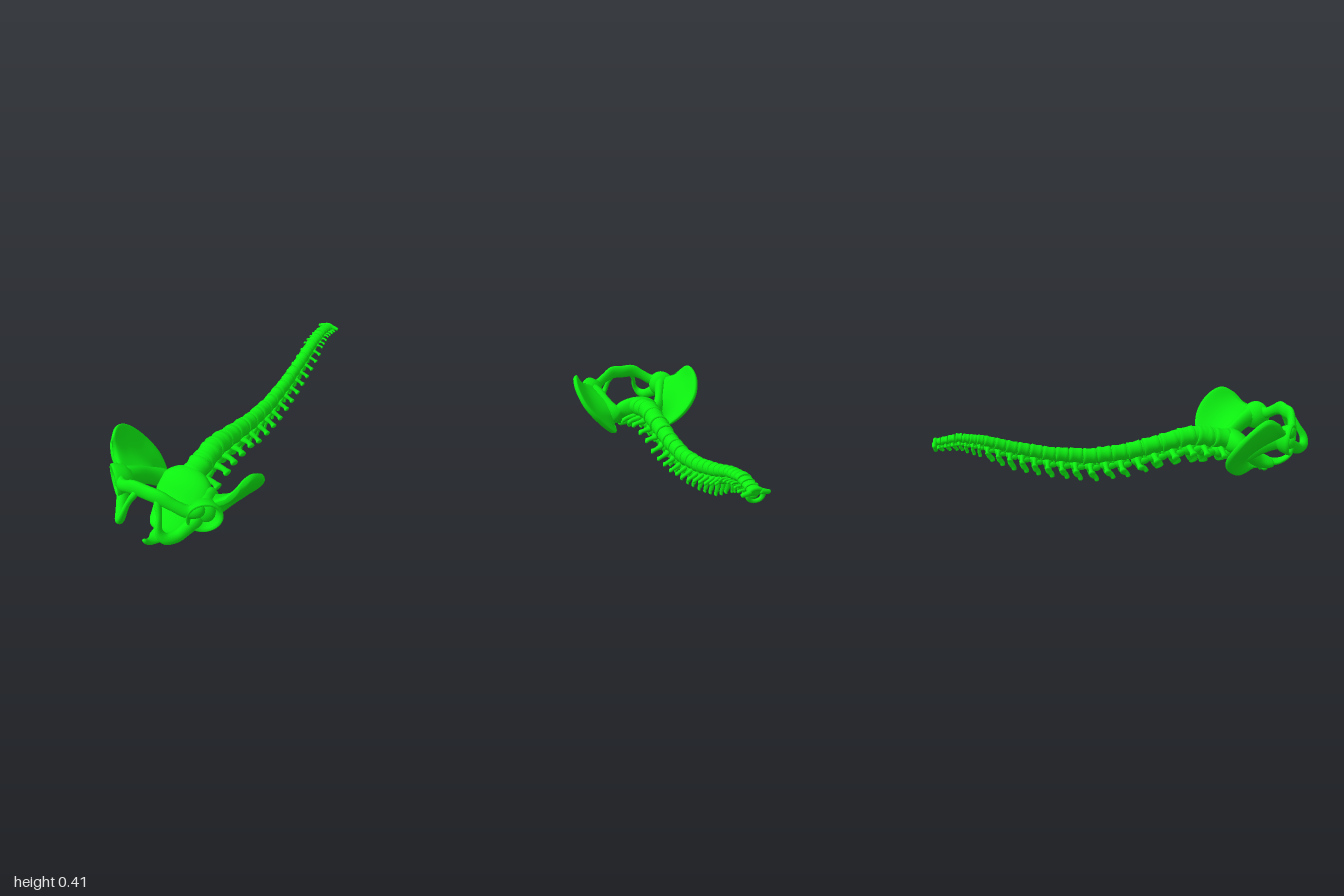
import * as THREE from 'three';

const V = (x, y, z) => new THREE.Vector3(x, y, z);
const bone = new THREE.MeshStandardMaterial({ color: 0x0cf010 });

function mesh(name, geometry) {
  const m = new THREE.Mesh(geometry, bone);
  m.name = name;
  return m;
}

// Closed surface through a row of rings, with capped ends
function skin(rings) {
  const n = rings[0].length, pos = [], idx = [];
  rings.forEach(r => r.forEach(p => pos.push(p.x, p.y, p.z)));
  for (let i = 0; i < rings.length - 1; i++) {
    for (let j = 0; j < n; j++) {
      const a = i * n + j, b = i * n + (j + 1) % n;
      idx.push(a, b, a + n, b, b + n, a + n);
    }
  }
  [0, rings.length - 1].forEach(i => {
    const c = rings[i].reduce((s, p) => s.add(p), V(0, 0, 0)).divideScalar(n), k = pos.length / 3;
    pos.push(c.x, c.y, c.z);
    for (let j = 0; j < n; j++) {
      const a = i * n + j, b = i * n + (j + 1) % n;
      idx.push(k, ...(i ? [a, b] : [b, a]));
    }
  });
  const g = new THREE.BufferGeometry();
  g.setAttribute('position', new THREE.Float32BufferAttribute(pos, 3));
  g.setIndex(idx);
  g.computeVertexNormals();
  return g;
}

// Round-ended tube; each point is [x, y, z, side radius, up radius]
function sweep(pts, up = V(0, 1, 0), steps = 24, sides = 14) {
  const curve = new THREE.CatmullRomCurve3(pts.map(p => V(p[0], p[1], p[2])));
  const size = new THREE.CatmullRomCurve3(pts.map(p => V(p[3], p[4], 0)));
  const rings = [];
  for (let i = 0; i <= steps; i++) {
    const t = (1 - Math.cos(Math.PI * i / steps)) / 2;
    const c = curve.getPoint(t), T = curve.getTangent(t), r = size.getPoint(t);
    const side = V(0, 0, 0).crossVectors(up, T).normalize();
    const b = V(0, 0, 0).crossVectors(T, side);
    const e = Math.min(1, Math.min(t, 1 - t) / 0.1);
    const k = Math.max(0.08, Math.sqrt(1 - (1 - e) ** 2));
    rings.push(Array.from({ length: sides }, (_, j) => {
      const a = j / sides * Math.PI * 2;
      return c.clone().addScaledVector(side, Math.cos(a) * r.x * k).addScaledVector(b, Math.sin(a) * r.y * k);
    }));
  }
  return skin(rings);
}

// Flip a geometry across x = 0 and restore its face order
function mirrored(geometry) {
  const g = geometry.clone().scale(-1, 1, 1), ix = g.index.array;
  for (let i = 0; i < ix.length; i += 3) [ix[i], ix[i + 1]] = [ix[i + 1], ix[i]];
  g.computeVertexNormals();
  return g;
}

function addPair(group, name, geometry) {
  group.add(mesh('left' + name, geometry), mesh('right' + name, mirrored(geometry)));
}

// Spine stations: z, centre y, half width, half depth, back spur length, side spur reach
const stations = [
  [0.60, 0.20, 0.066, 0.055, 0.11, 0.12], [0.53, 0.215, 0.064, 0.055, 0.13, 0.12],
  [0.365, 0.24, 0.06, 0.055, 0.16, 0.112], [0.18, 0.203, 0.052, 0.05, 0.135, 0.095],
  [0, 0.168, 0.045, 0.046, 0.148, 0.09], [-0.2, 0.157, 0.041, 0.043, 0.147, 0.082],
  [-0.4, 0.182, 0.037, 0.038, 0.132, 0.075], [-0.6, 0.232, 0.034, 0.033, 0.125, 0.07],
  [-0.75, 0.28, 0.034, 0.027, 0.095, 0.065], [-0.87, 0.301, 0.034, 0.022, 0.072, 0.055],
  [-1.0, 0.28, 0.03, 0.018, 0.05, 0.055]];

function station(z) {
  let i = 0;
  while (i < stations.length - 2 && z < stations[i + 1][0]) i++;
  const a = stations[i], b = stations[i + 1], t = (a[0] - z) / (a[0] - b[0]);
  return a.map((v, k) => v + (b[k] - v) * t);
}

function vertebra(i, z, len) {
  const g = new THREE.Group();
  const [, y, w, d, spine, reach] = station(z);
  g.name = 'vertebra' + (i + 1);
  g.position.set(0, y, z);
  g.rotation.x = -Math.atan2(station(z + 0.04)[1] - station(z - 0.04)[1], 0.08);
  const lumbar = i < 5, neck = i > 16;

  // Waisted body
  const h = len * 0.47;
  const body = new THREE.LatheGeometry([[0, -h], [0.85, -h], [1, -h * 0.85], [0.97, -h * 0.5], [0.9, 0],
    [0.97, h * 0.5], [1, h * 0.85], [0.85, h], [0, h]].map(p => new THREE.Vector2(...p)), 24);
  g.add(mesh('body', body.rotateX(Math.PI / 2).scale(w, d, 1)));

  // Arch behind the body and the joint facets
  const arch = new THREE.SphereGeometry(1, 16, 10).scale(w * 0.72, d * 0.75, len * 0.42);
  g.add(mesh('arch', arch.translate(0, -d * 1.25, len * 0.05)));
  const facet = new THREE.SphereGeometry(1, 10, 8).scale(w * 0.24, d * 0.4, len * 0.35);
  addPair(g, 'Facet', facet.translate(w * 0.5, -d * 1.45, len * 0.42));

  // Back spur, leaning towards the pelvis
  const lean = lumbar ? 0.025 : neck ? 0.015 : 0.045;
  const deep = lumbar ? 0.027 : neck ? 0.009 : 0.014;
  g.add(mesh('backSpur', sweep([
    [0, -d, 0, w * 0.35, len * 0.3], [0, -(d + spine) * 0.55, lean * 0.35, 0.009, len * 0.26],
    [0, -spine * 0.85, lean * 0.8, 0.006, deep], [0, -spine, lean, 0.007, deep * 0.9]], V(0, 0, 1), 14, 10)));

  // Side spurs
  const drop = lumbar ? -1.3 : neck ? -1.0 : -1.65;
  addPair(g, 'SideSpur', sweep([
    [w * 0.4, -d * 0.9, 0, len * 0.22, d * 0.35], [(w + reach) / 2, d * (drop + 0.2), 0, len * 0.15, d * 0.22],
    [reach * 0.93, d * drop, len * 0.04, len * 0.24, d * 0.24],
    [reach, d * drop, len * 0.06, len * 0.2, d * 0.2]], V(0, 1, 0), 14, 10));
  return g;
}

// Curved iliac blade between the crest and the inner brim
function iliacBlade() {
  const line = a => new THREE.CatmullRomCurve3(a.map(p => V(...p)));
  const crest = line([[0.345, 0.38, 0.72], [0.37, 0.408, 0.645], [0.379, 0.36, 0.565], [0.347, 0.265, 0.495],
    [0.275, 0.17, 0.475], [0.2, 0.09, 0.515], [0.155, 0.05, 0.58], [0.125, 0.065, 0.66]]);
  const brim = line([[0.25, 0.31, 0.80], [0.235, 0.29, 0.78], [0.215, 0.265, 0.74], [0.19, 0.235, 0.69],
    [0.165, 0.2, 0.65], [0.145, 0.165, 0.625], [0.13, 0.13, 0.63], [0.115, 0.09, 0.67]]);
  const rings = [], steps = 44, sides = 36;
  for (let i = 0; i <= steps; i++) {
    const u = i / steps, c = crest.getPoint(u), b = brim.getPoint(u);
    const along = crest.getTangent(u).add(brim.getTangent(u));
    const n = c.clone().sub(b).cross(along).normalize();
    const edge = Math.min(1, 0.45 + Math.min(u, 1 - u) * 7);
    rings.push(Array.from({ length: sides }, (_, j) => {
      const t = j / sides * Math.PI * 2, v = (1 - Math.cos(t)) / 2, s = Math.sin(t);
      const thick = (0.028 - 0.05 * v * (1 - v)) * edge * Math.sign(s) * Math.abs(s) ** 0.6;
      return b.clone().lerp(c, v).addScaledVector(n, thick - 0.022 * Math.sin(Math.PI * v));
    }));
  }
  return skin(rings);
}

function pelvis() {
  const g = new THREE.Group();
  g.name = 'pelvis';
  addPair(g, 'IliacBlade', iliacBlade());

  // Thick bar from the hip socket to the sacrum
  addPair(g, 'IliacBody', sweep([[0.24, 0.27, 0.82, 0.05, 0.06], [0.205, 0.25, 0.75, 0.035, 0.05],
    [0.175, 0.21, 0.68, 0.03, 0.045], [0.14, 0.165, 0.62, 0.035, 0.05], [0.11, 0.14, 0.6, 0.03, 0.05]]));

  // Hip socket cup
  const cup = new THREE.LatheGeometry([[0, -0.075], [0.04, -0.068], [0.068, -0.04], [0.082, 0], [0.082, 0.014],
    [0.074, 0.018], [0.066, 0.008], [0.054, -0.022], [0.03, -0.042], [0, -0.048]]
    .map(p => new THREE.Vector2(...p)), 32);
  cup.applyQuaternion(new THREE.Quaternion().setFromUnitVectors(V(0, 1, 0), V(0.62, 0, 0.78).normalize()));
  addPair(g, 'HipSocket', cup.translate(0.238, 0.262, 0.825));

  // Pubic bar meeting at the midline
  const half = [[0.24, 0.3, 0.82, 0.035, 0.045], [0.18, 0.29, 0.86, 0.026, 0.032], [0.125, 0.32, 0.885, 0.022, 0.03],
    [0.065, 0.348, 0.9, 0.022, 0.039]];
  const other = half.map(([x, ...r]) => [-x, ...r]).reverse();
  g.add(mesh('pubicBar', sweep([...half, [0, 0.348, 0.9, 0.024, 0.038], ...other], V(0, 1, 0), 48)));

  // Ischium looping around the lower opening
  addPair(g, 'Ischium', sweep([[0.05, 0.345, 0.905, 0.022, 0.02], [0.083, 0.285, 0.94, 0.016, 0.012],
    [0.1, 0.225, 0.972, 0.022, 0.014], [0.125, 0.188, 0.962, 0.026, 0.022], [0.152, 0.18, 0.92, 0.03, 0.026],
    [0.18, 0.205, 0.87, 0.034, 0.028], [0.215, 0.24, 0.81, 0.04, 0.03]], V(1, 0, 0), 36));
  return g;
}

function sacrum() {
  const g = new THREE.Group();
  g.name = 'sacrum';
  g.add(mesh('sacralWedge', sweep([[0, 0.2, 0.54, 0.07, 0.055], [0, 0.19, 0.61, 0.135, 0.062],
    [0, 0.14, 0.67, 0.14, 0.052], [0, 0.09, 0.73, 0.12, 0.042], [0, 0.066, 0.79, 0.1, 0.032],
    [0, 0.058, 0.84, 0.065, 0.022]], V(0, 1, 0), 30, 28)));
  g.add(mesh('tailbone', sweep([[0, 0.06, 0.81, 0.045, 0.022], [0, 0.056, 0.86, 0.045, 0.016],
    [0, 0.062, 0.9, 0.028, 0.014], [0, 0.085, 0.94, 0.019, 0.012], [0, 0.12, 0.965, 0.011, 0.009]])));
  // Ridge of bumps down the back
  for (let i = 0; i < 4; i++) {
    const z = 0.61 + i * 0.055, y = 0.095 - i * 0.02;
    g.add(mesh('crestBump', sweep([[0, y + 0.04, z - 0.02, 0.03, 0.03], [0, y, z, 0.016, 0.022],
      [0, y - 0.022, z + 0.01, 0.008, 0.014]], V(0, 0, 1), 12, 10)));
    addPair(g, 'SideBump', new THREE.SphereGeometry(0.018, 12, 8).translate(0.075 - i * 0.006, 0.105 - i * 0.02, z));
  }
  return g;
}

export function createModel() {
  const model = new THREE.Group();
  model.name = 'spineAndPelvis';

  const spine = new THREE.Group();
  spine.name = 'spine';
  let z = 0.58;
  for (let i = 0; i < 24; i++) {
    const len = i < 5 ? 0.098 : i < 17 ? 0.086 - (i - 5) * 0.003 : 0.035;
    spine.add(vertebra(i, z - len / 2, len));
    z -= len;
  }
  // Discs joining the bodies
  spine.add(mesh('discs', sweep(stations.slice().reverse().filter(s => s[0] > -0.99)
    .map(([sz, y, w, d]) => [0, y, sz, w * 0.88, d * 0.88]), V(0, 1, 0), 60, 20)));
  // Ring at the top of the neck
  const ring = new THREE.TorusGeometry(0.032, 0.01, 10, 28).scale(1.1, 0.85, 1);
  spine.add(mesh('topRing', ring.translate(0, 0.27, -0.985)));
  addPair(spine, 'TopWing', sweep([[0.02, 0.285, -0.985, 0.014, 0.014], [0.045, 0.28, -0.988, 0.011, 0.011],
    [0.066, 0.275, -0.985, 0.009, 0.009]], V(0, 1, 0), 12, 10));

  model.add(spine, sacrum(), pelvis());
  return model;
}
